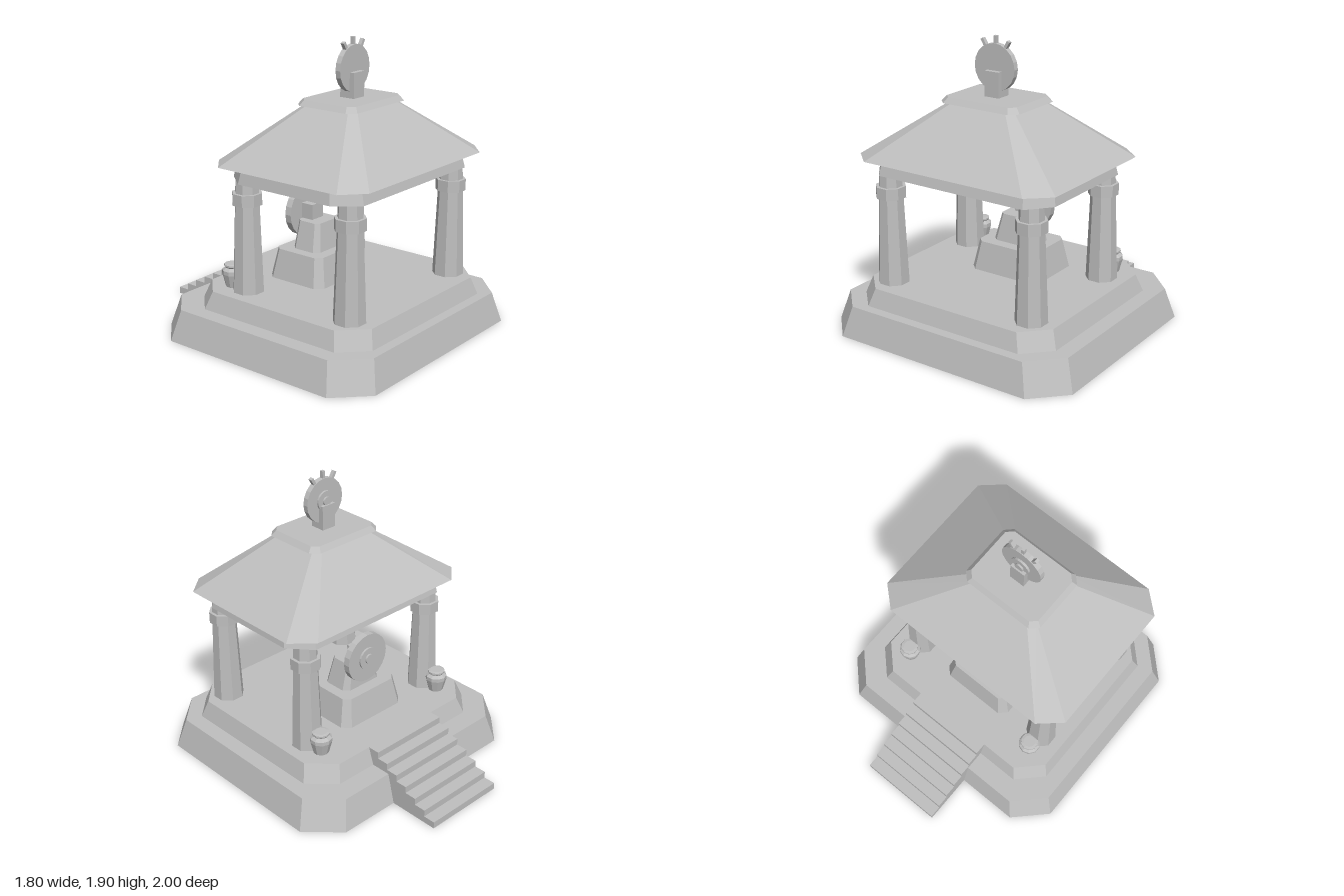
import * as THREE from 'three';

const stone = new THREE.MeshStandardMaterial({ color: 0xbfbfbf, flatShading: true, side: THREE.DoubleSide });
stone.name = 'grey stone';

// Rectangle with cut corners, anticlockwise seen from above
function ring({ x, z0, z1, cx, cz }, y) {
  return [
    [x, z1 - cz], [x, z0 + cz], [x - cx, z0], [cx - x, z0],
    [-x, z0 + cz], [-x, z1 - cz], [cx - x, z1], [x - cx, z1],
  ].map(([px, pz]) => [px, y, pz]);
}

// Tapered block between two cut-corner rectangles
function taperedBlock(bottom, y0, top, y1, closed = false) {
  const a = ring(bottom, y0), b = ring(top, y1), pos = [];
  const tri = (...points) => points.forEach((p) => pos.push(...p));
  for (let i = 0; i < 8; i++) {
    const j = (i + 1) % 8;
    tri(a[i], a[j], b[j]);
    tri(a[i], b[j], b[i]);
    if (i > 0 && i < 7) {
      tri(b[0], b[i], b[j]);
      if (closed) tri(a[0], a[j], a[i]);
    }
  }
  const geo = new THREE.BufferGeometry();
  geo.setAttribute('position', new THREE.Float32BufferAttribute(pos, 3));
  geo.computeVertexNormals();
  return geo;
}

const rect = (x, z0, z1, cx, cz = cx) => ({ x, z0, z1, cx, cz });

export function createModel() {
  const model = new THREE.Group();
  model.name = 'pavilion';
  const add = (name, geo, x = 0, y = 0, z = 0, parent = model) => {
    const mesh = new THREE.Mesh(geo, stone);
    mesh.name = name;
    mesh.position.set(x, y, z);
    parent.add(mesh);
    return mesh;
  };

  // Two-tier plinth, open underneath
  add('lowerPlinth', taperedBlock(rect(0.9, -0.655, 1, 0.2), 0, rect(0.84, -0.605, 0.95, 0.19), 0.2));
  add('upperPlinth', taperedBlock(rect(0.735, -0.47, 0.885, 0.16), 0.2, rect(0.695, -0.43, 0.85, 0.155), 0.315));

  // Back stairs: each step is a box without its underside
  const depth = 0.57 / 7;
  for (let i = 0; i < 7; i++) {
    const h = 0.045 * (i + 1);
    const step = new THREE.BoxGeometry(0.57, h, depth);
    const index = Array.from(step.index.array);
    index.splice(18, 6);
    step.setIndex(index);
    step.clearGroups();
    add('step', step, 0, h / 2, -1 + (i + 0.5) * depth);
  }

  // Columns with collars, and pots behind the rear pair
  const columnGeo = new THREE.CylinderGeometry(0.075, 0.102, 0.73, 8).rotateY(Math.PI / 8);
  const collarGeo = new THREE.CylinderGeometry(0.098, 0.098, 0.075, 8).rotateY(Math.PI / 8);
  const potProfile = [[0, 0], [0.05, 0], [0.072, 0.085], [0.072, 0.11], [0.052, 0.128], [0.058, 0.135], [0.058, 0.147], [0.04, 0.15], [0, 0.15]];
  const potGeo = new THREE.LatheGeometry(potProfile.map(([r, y]) => new THREE.Vector2(r, y)), 10);
  for (const x of [-0.53, 0.53]) {
    for (const z of [0.68, -0.12]) {
      add('column', columnGeo, x, 0.68, z);
      add('columnCollar', collarGeo, x, 0.922, z);
    }
    add('pot', potGeo, x, 0.315, -0.25);
  }

  // Beam, roof and cap
  add('beam', taperedBlock(rect(0.66, -0.225, 0.78, 0.125, 0.15), 1.045, rect(0.64, -0.2, 0.755, 0.115, 0.14), 1.145, true));
  add('roof', taperedBlock(rect(0.725, -0.3, 0.855, 0.14, 0.125), 1.145, rect(0.24, 0.08, 0.475, 0.04), 1.49, true));
  add('roofCap', taperedBlock(rect(0.29, 0.05, 0.505, 0.05), 1.49, rect(0.26, 0.075, 0.48, 0.04), 1.525, true));

  // Wheel with raised rings on its back face
  const wheel = (name, r, thick, y, z) => {
    const group = new THREE.Group();
    group.name = name;
    group.position.set(0, y, z);
    model.add(group);
    const disc = (part, radius, t, dz) =>
      add(part, new THREE.CylinderGeometry(radius, radius, t, 20).rotateX(Math.PI / 2), 0, 0, dz, group);
    disc('wheelDisc', r, thick, 0);
    disc('wheelRing', r * 0.45, 0.014, -thick / 2 - 0.007);
    disc('wheelHub', r * 0.2, 0.012, -thick / 2 - 0.02);
    return group;
  };

  // Inner pedestal and its wheel
  add('pedestalBase', taperedBlock(rect(0.265, -0.2, 0.24, 0.05), 0.315, rect(0.225, -0.165, 0.205, 0.04), 0.505));
  add('pedestalTop', taperedBlock(rect(0.155, -0.085, 0.13, 0.035), 0.505, rect(0.11, -0.07, 0.1, 0.025), 0.685));
  add('pedestalBlock', new THREE.BoxGeometry(0.11, 0.1, 0.09), 0, 0.735, -0.035);
  wheel('pedestalWheel', 0.168, 0.045, 0.723, -0.1);

  // Finial: block, wheel and three rays
  add('finialBlock', new THREE.BoxGeometry(0.105, 0.16, 0.105), 0, 1.605, 0.283);
  const finial = wheel('finialWheel', 0.148, 0.036, 1.705, 0.285);
  for (const angle of [-0.53, 0, 0.53]) {
    const ray = add('ray', new THREE.BoxGeometry(0.02, 0.05, 0.025), Math.sin(angle) * 0.168, Math.cos(angle) * 0.168, 0, finial);
    ray.rotation.z = -angle;
  }
  return model;
}
